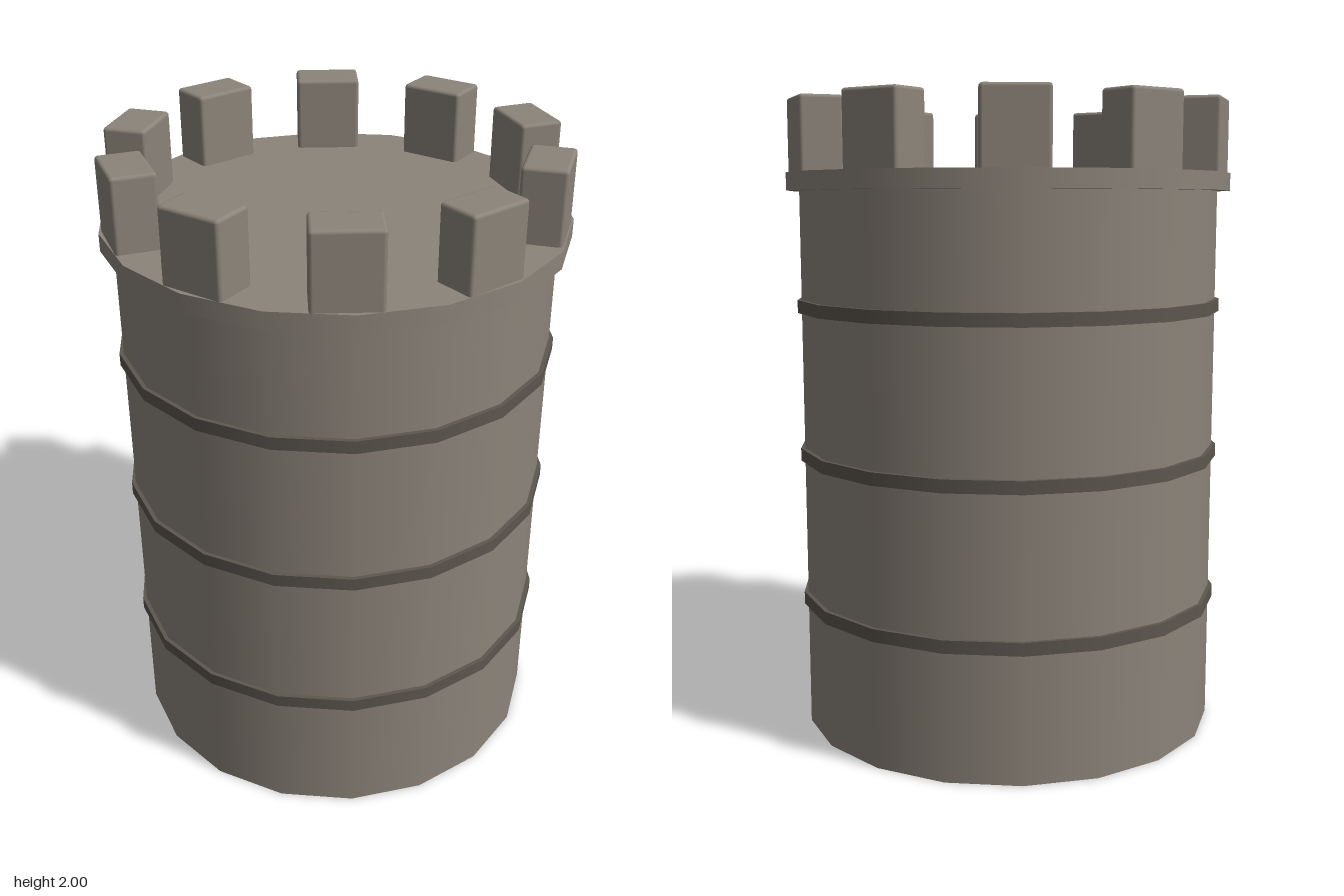
import * as THREE from 'three';
import { RoundedBoxGeometry } from 'three/addons/geometries/RoundedBoxGeometry.js';

const SIDES = 18;

export function createModel() {
  const tower = new THREE.Group();
  tower.name = 'tower';

  const stone = new THREE.MeshStandardMaterial({ color: 0x8c847a });
  stone.name = 'stone';
  const darkStone = new THREE.MeshStandardMaterial({ color: 0x5c564e });
  darkStone.name = 'dark stone';

  // Upright drum between two heights
  function drum(name, radius, bottom, top, material) {
    const mesh = new THREE.Mesh(
      new THREE.CylinderGeometry(radius, radius, top - bottom, SIDES), material);
    mesh.position.y = (bottom + top) / 2;
    mesh.name = name;
    tower.add(mesh);
  }

  // Shaft and overhanging platform
  drum('shaft', 0.665, 0, 1.73, stone);
  drum('platform', 0.705, 1.72, 1.775, stone);

  // Dark courses around the shaft
  [0.418, 0.89, 1.361].forEach((y, i) => {
    drum('band' + (i + 1), 0.678, y - 0.02, y + 0.02, darkStone);
  });

  // Ring of battlement blocks, slightly sunk into the platform
  const merlonGeometry = new RoundedBoxGeometry(0.134, 0.24, 0.2, 2, 0.011);
  const count = 10;
  for (let i = 0; i < count; i++) {
    const angle = (i / count) * Math.PI * 2;
    const merlon = new THREE.Mesh(merlonGeometry, stone);
    merlon.position.set(Math.cos(angle) * 0.622, 1.88, Math.sin(angle) * 0.622);
    merlon.rotation.y = -angle;
    merlon.name = 'merlon' + (i + 1);
    tower.add(merlon);
  }

  return tower;
}
